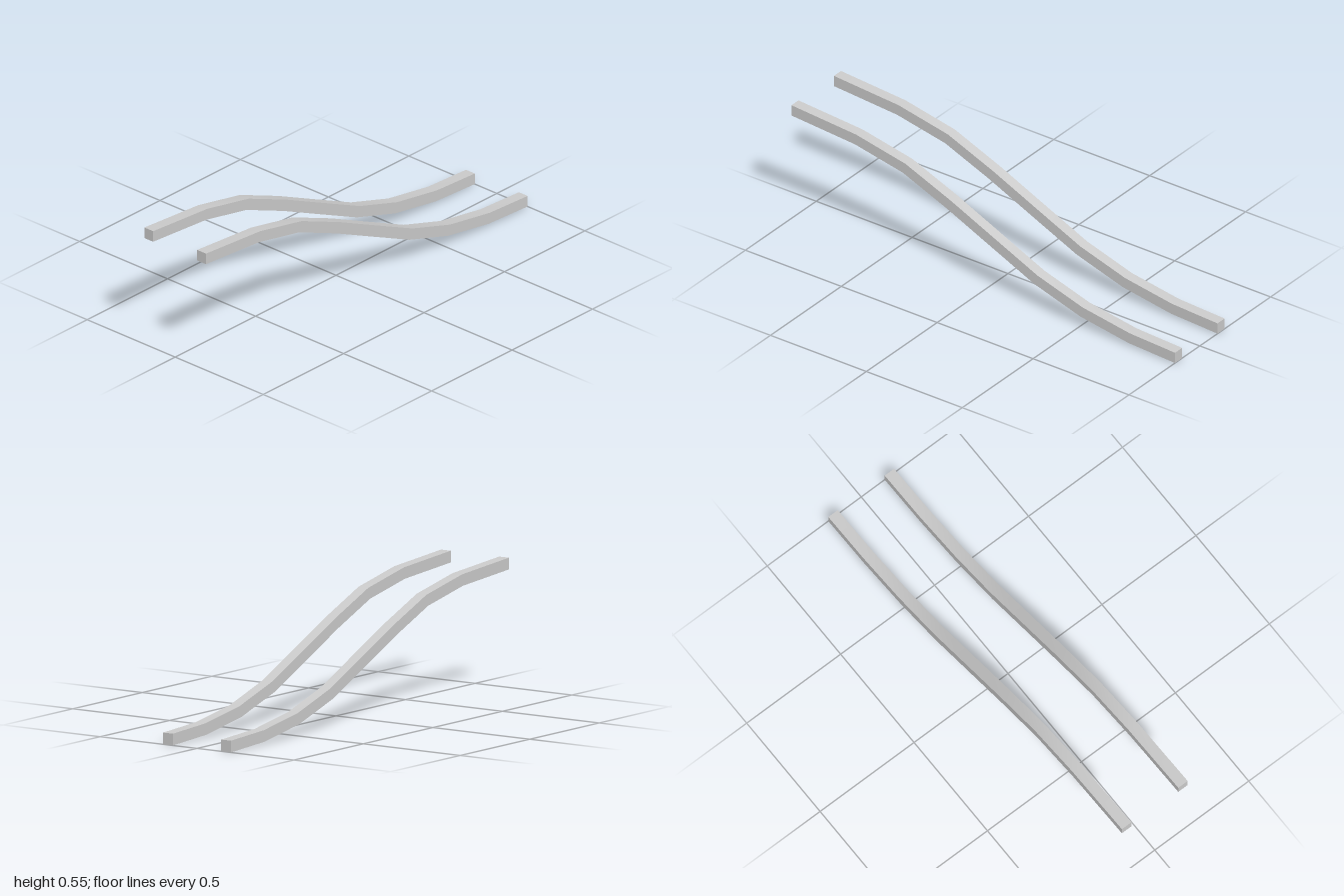
import * as THREE from 'three';

// Centre line of a rail as [z, y], from the high front end to the low back end
const PATH = [
  [1, 0.527], [0.667, 0.503], [0.413, 0.452], [0.18, 0.357], [-0.05, 0.252],
  [-0.275, 0.15], [-0.512, 0.077], [-0.76, 0.037], [-1, 0.025],
];
const SIZE = 0.05;
const RAIL_X = 0.15;

// Square bar whose cross-sections are moved onto the path, square to it
function railGeometry() {
  const last = PATH.length - 1;
  const geometry = new THREE.BoxGeometry(SIZE, SIZE, 2, 1, 1, last);
  const pos = geometry.attributes.position;
  for (let v = 0; v < pos.count; v++) {
    const i = Math.round((1 - pos.getZ(v)) / 2 * last);
    const [z, y] = PATH[i];
    let slope = 0; // end cuts stay vertical
    if (i > 0 && i < last) {
      const [z0, y0] = PATH[i - 1], [z1, y1] = PATH[i + 1];
      slope = Math.atan2(y0 - y1, z0 - z1);
    }
    const h = pos.getY(v);
    pos.setY(v, y + h * Math.cos(slope));
    pos.setZ(v, z - h * Math.sin(slope));
  }
  geometry.computeVertexNormals();
  return geometry;
}

export function createModel() {
  const group = new THREE.Group();
  group.name = 'curvedRails';
  const material = new THREE.MeshStandardMaterial({ color: 0xcccccc });
  const geometry = railGeometry();

  // Left and right rails
  for (const side of [1, -1]) {
    const rail = new THREE.Mesh(geometry, material);
    rail.name = side > 0 ? 'leftRail' : 'rightRail';
    rail.position.x = side * RAIL_X;
    group.add(rail);
  }
  return group;
}
